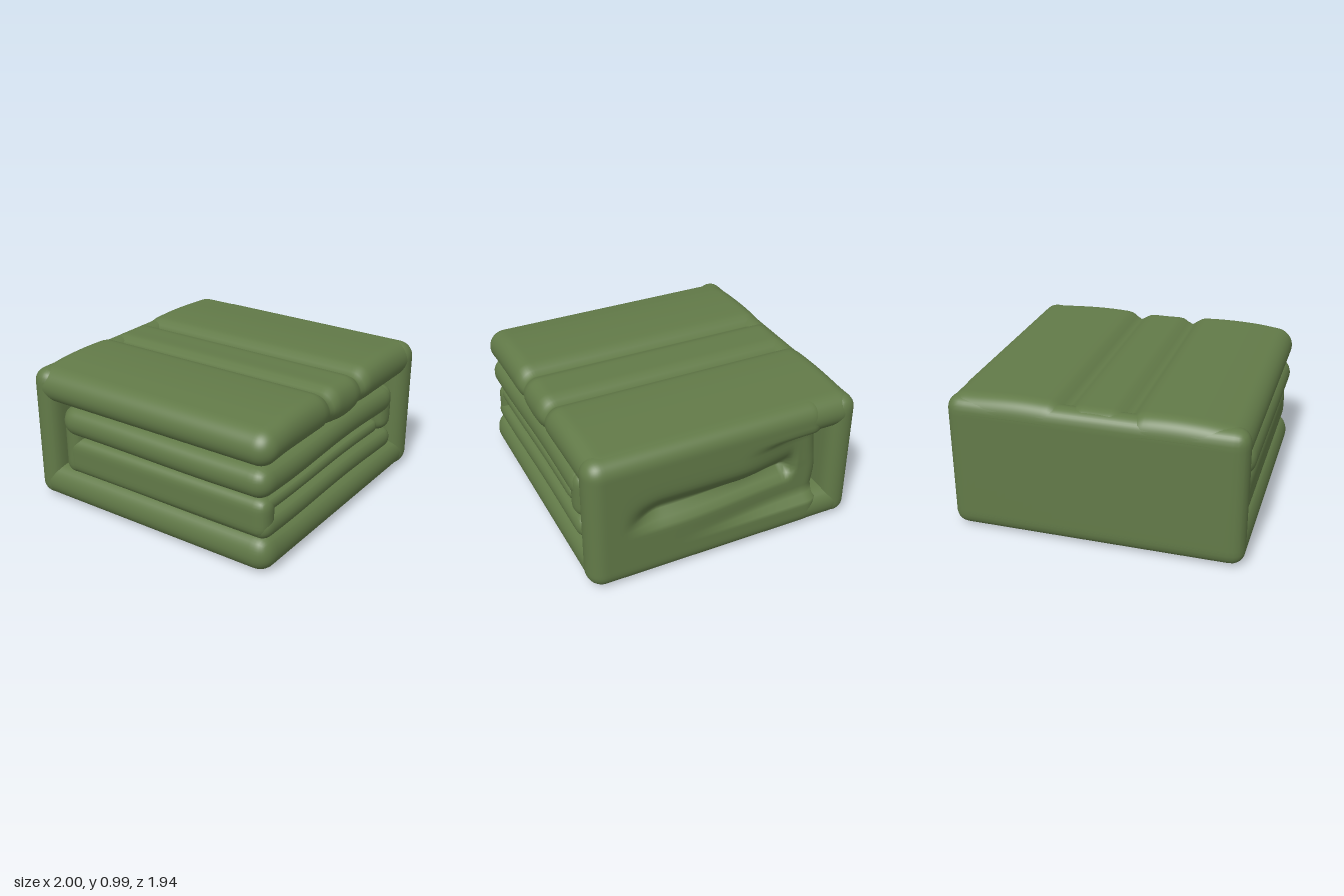
import * as THREE from 'three';
import { mergeVertices } from 'three/addons/utils/BufferGeometryUtils.js';

const step = THREE.MathUtils.smoothstep;
const bump = (v, c, w) => Math.exp(-(((v - c) / w) ** 2));

// Soft padded block between two corners; warp(p) may then bend it
function pad(min, max, r, warp, density = 14) {
  const lo = new THREE.Vector3(...min), hi = new THREE.Vector3(...max);
  const size = hi.clone().sub(lo), mid = hi.clone().add(lo).multiplyScalar(0.5);
  const seg = (s) => Math.ceil(s * density) + 8;
  let geo = new THREE.BoxGeometry(2, 2, 2, seg(size.x), seg(size.y), seg(size.z));
  geo.deleteAttribute('uv');
  geo.deleteAttribute('normal');
  geo = mergeVertices(geo);
  const half = size.clone().multiplyScalar(0.5);
  const core = half.clone().subScalar(r), negCore = core.clone().negate();
  const pos = geo.attributes.position;
  const p = new THREE.Vector3(), inner = new THREE.Vector3();
  // Crowd the grid toward the rounded edges
  const crowd = (t) => 0.5 * t + 0.5 * Math.sin((t * Math.PI) / 2);
  for (let i = 0; i < pos.count; i++) {
    p.fromBufferAttribute(pos, i);
    p.set(crowd(p.x), crowd(p.y), crowd(p.z)).multiply(half);
    inner.copy(p).clamp(negCore, core);
    p.sub(inner).setLength(r).add(inner).add(mid);
    if (warp) warp(p);
    pos.setXYZ(i, p.x, p.y, p.z);
  }
  geo.computeVertexNormals();
  return geo;
}

export function createModel() {
  const group = new THREE.Group();
  const cloth = new THREE.MeshStandardMaterial({ color: 0x627a48 });
  cloth.name = 'olive green cloth';
  const add = (name, geo) => {
    const mesh = new THREE.Mesh(geo, cloth);
    mesh.name = name;
    group.add(mesh);
  };

  // Top layer: two lengthwise creases and a swollen middle
  add('topLayer', pad([-1, 0.735, -0.97], [1, 0.975, 0.965], 0.12, (p) => {
    const upper = step(p.y, 0.76, 0.96);
    const crease = bump(p.x, -0.22, 0.05) + bump(p.x, 0.19, 0.05);
    p.y += upper * (0.018 * Math.sin(Math.PI * p.x) ** 2 - 0.05 * crease);
    p.y -= (1 - upper) * 0.025 * bump(p.x, 0, 0.15);
    p.y -= 0.015 * (1 - step(p.x, -1, -0.7));
    p.z -= 0.02 * crease * step(p.z, 0.85, 0.97);
  }, 30));

  // Bottom layer
  add('bottomLayer', pad([-1, 0, -0.97], [1, 0.235, 0.965], 0.115, (p) => {
    p.y += 0.015 * step(p.y, 0.1, 0.23) * (1 - step(p.x, -0.95, -0.6));
  }));

  // Back fold joining top and bottom
  add('backFold', pad([-1, 0.01, -0.97], [1, 0.965, -0.78], 0.094));

  // Right fold: flush at the front, sinking and creased toward the back slit
  add('rightFold', pad([0.77, 0, -0.735], [1, 0.975, 0.97], 0.11, (p) => {
    const band = step(p.y, 0.2, 0.25) * (1 - step(p.y, 0.73, 0.78));
    const start = p.y > 0.46 ? -0.1 : 0.4;
    const sink = 0.08 * band * (1 - step(p.z, -0.65, start));
    const groove = bump(p.y, 0.46, p.y > 0.46 ? 0.1 : 0.04)
      * (1 - step(p.z, 0.45, 0.75)) * step(p.z, -0.56, -0.49);
    p.x -= sink + 0.11 * groove;
    if (p.z < -0.6) p.z -= 0.025 * bump(p.y, 0.42, 0.15);
  }, 30));

  // Inner folded layers: [name, min corner, max corner, radius, waviness]
  const layers = [
    ['secondLayer', [-1, 0.52, -0.73], [0.72, 0.735, 0.95], 0.105, 0.012],
    ['secondLayerTurn', [0.55, 0.38, -0.72], [0.73, 0.72, 0.94], 0.085, 0],
    ['innerLayer', [-0.94, 0.405, -0.72], [0.54, 0.51, 0.92], 0.05, 0.008],
    ['lowerLayer', [-0.96, 0.225, -0.72], [0.74, 0.39, 0.94], 0.08, 0.008],
    ['leftTurn', [-0.97, 0.23, -0.72], [-0.8, 0.51, 0.93], 0.08, 0],
    ['rearTurn', [-0.97, 0.23, -0.735], [0.7, 0.72, -0.58], 0.075, 0],
  ];
  for (const [name, min, max, r, wave] of layers) {
    add(name, pad(min, max, r, (p) => {
      p.y += wave * Math.sin(4 * p.x + 1.2) - wave * 0.5 * Math.sin(3 * p.z);
    }));
  }

  return group;
}
